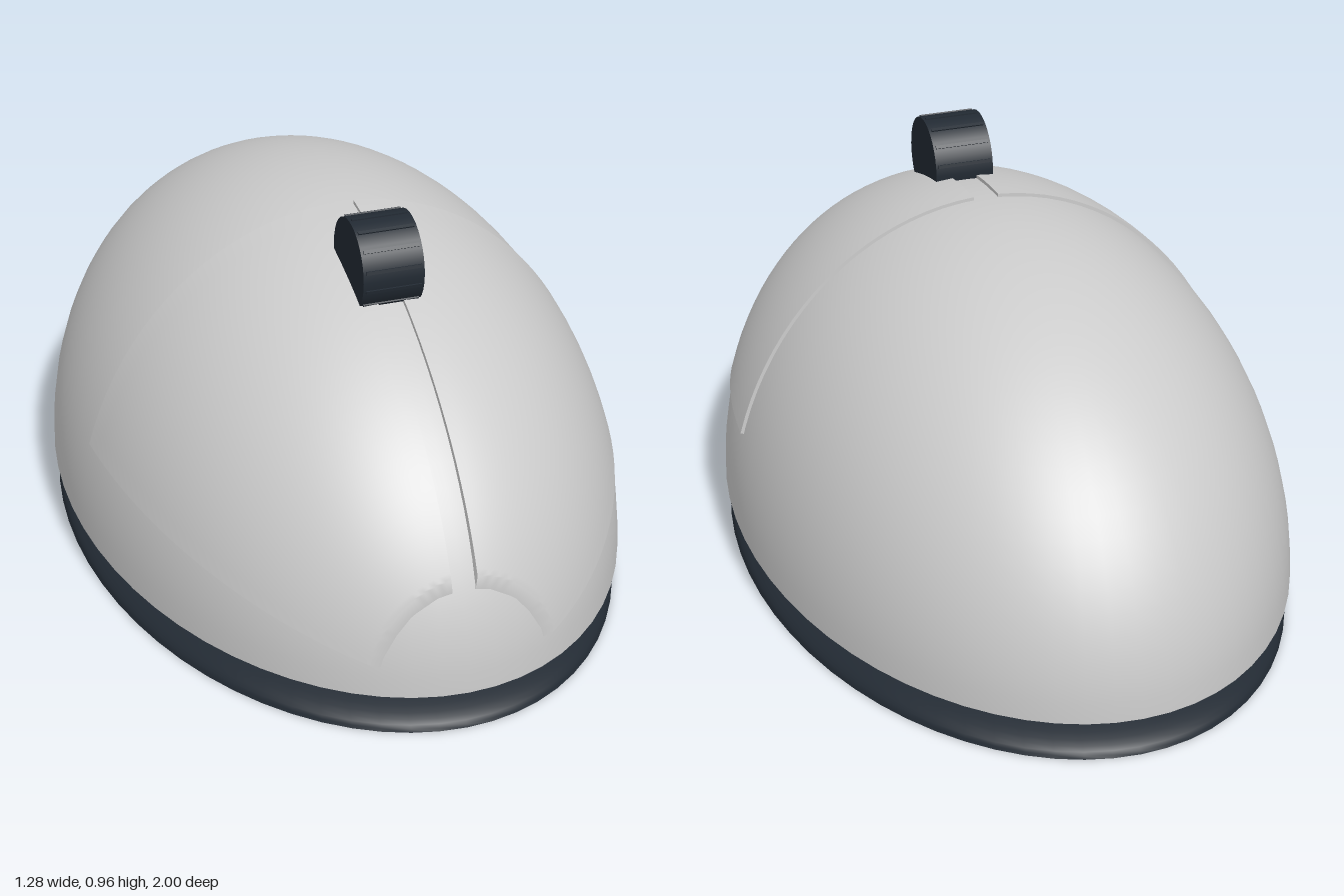
import * as THREE from 'three';
import { toCreasedNormals } from 'three/addons/utils/BufferGeometryUtils.js';

const FLOOR = 0.1; // height of the shell's lower rim

// Closed half ellipsoid standing on y = 0
function dome(rx, ry, rz) {
  const profile = [new THREE.Vector2(0, 0)];
  for (let i = 0; i <= 24; i++) {
    const a = (i / 24) * Math.PI / 2;
    profile.push(new THREE.Vector2(i === 24 ? 0 : Math.cos(a), Math.sin(a)));
  }
  const geometry = new THREE.LatheGeometry(profile, 64);
  geometry.scale(rx, ry, rz);
  return toCreasedNormals(geometry, 0.7);
}

// Raised click panel: a patch of a slightly larger ellipsoid with walls sunk into the shell
function buttonGeometry(side) {
  const A = 0.648, B = 0.768, C = 1.013, NZ = 24, NA = 20;
  const lowerEdge = (x) => 0.185 + (x - 0.215) * 0.3625;
  const positions = [], index = [];
  for (let i = 0; i <= NZ + 2; i++) {
    const t = THREE.MathUtils.clamp(i - 1, 0, NZ) / NZ;
    const z = 0.1 + 0.85 * Math.sin(t * Math.PI / 2);
    const s = Math.sqrt(1 - (z / C) ** 2);
    // find where the section crosses the slanted lower edge
    let lo = 0, hi = Math.PI / 2;
    for (let k = 0; k < 30; k++) {
      const m = (lo + hi) / 2;
      if (FLOOR + B * s * Math.sin(m) < lowerEdge(A * s * Math.cos(m))) lo = m;
      else hi = m;
    }
    const top = Math.acos(0.03 / (A * s));
    for (let j = 0; j <= NA + 2; j++) {
      const a = THREE.MathUtils.lerp(lo, top, THREE.MathUtils.clamp(j - 1, 0, NA) / NA);
      const border = i === 0 || j === 0 || i === NZ + 2 || j === NA + 2;
      const r = s * (border ? 0.87 : 1);
      positions.push(side * A * r * Math.cos(a), FLOOR + B * r * Math.sin(a), z);
    }
  }
  const row = NA + 3;
  for (let i = 0; i < NZ + 2; i++) {
    for (let j = 0; j < NA + 2; j++) {
      const a = i * row + j, b = a + 1, c = b + row, d = a + row;
      if (side > 0) index.push(a, b, c, a, c, d);
      else index.push(a, c, b, a, d, c);
    }
  }
  const geometry = new THREE.BufferGeometry();
  geometry.setAttribute('position', new THREE.Float32BufferAttribute(positions, 3));
  geometry.setIndex(index);
  return toCreasedNormals(geometry, 0.6);
}

export function createModel() {
  const model = new THREE.Group();
  model.name = 'computerMouse';
  const grey = new THREE.MeshStandardMaterial({ color: 0xcccccc });
  const dark = new THREE.MeshStandardMaterial({ color: 0x222a33 });

  const add = (parent, name, geometry, material) => {
    const mesh = new THREE.Mesh(geometry, material);
    mesh.name = name;
    parent.add(mesh);
    return mesh;
  };

  // Shell and shallow base
  add(model, 'shell', dome(0.64, 0.76, 1), grey).position.y = FLOOR;
  add(model, 'base', dome(0.632, 0.11, 0.99), dark);

  // Click panels
  add(model, 'leftButton', buttonGeometry(1), grey);
  add(model, 'rightButton', buttonGeometry(-1), grey);

  // Scroll wheel with grip ribs
  const wheel = new THREE.Group();
  wheel.name = 'scrollWheel';
  wheel.position.set(0, 0.85, 0.37);
  model.add(wheel);
  const drum = new THREE.CylinderGeometry(0.105, 0.105, 0.142, 32);
  drum.rotateZ(Math.PI / 2);
  add(wheel, 'wheelDrum', drum, dark);
  const ribs = 14;
  for (let i = 0; i < ribs; i++) {
    const a = (i / ribs) * Math.PI * 2;
    const rib = add(wheel, 'wheelRib', new THREE.BoxGeometry(0.13, 0.01, 0.008), dark);
    rib.position.set(0, 0.103 * Math.cos(a), 0.103 * Math.sin(a));
    rib.rotation.x = a;
  }
  return model;
}
